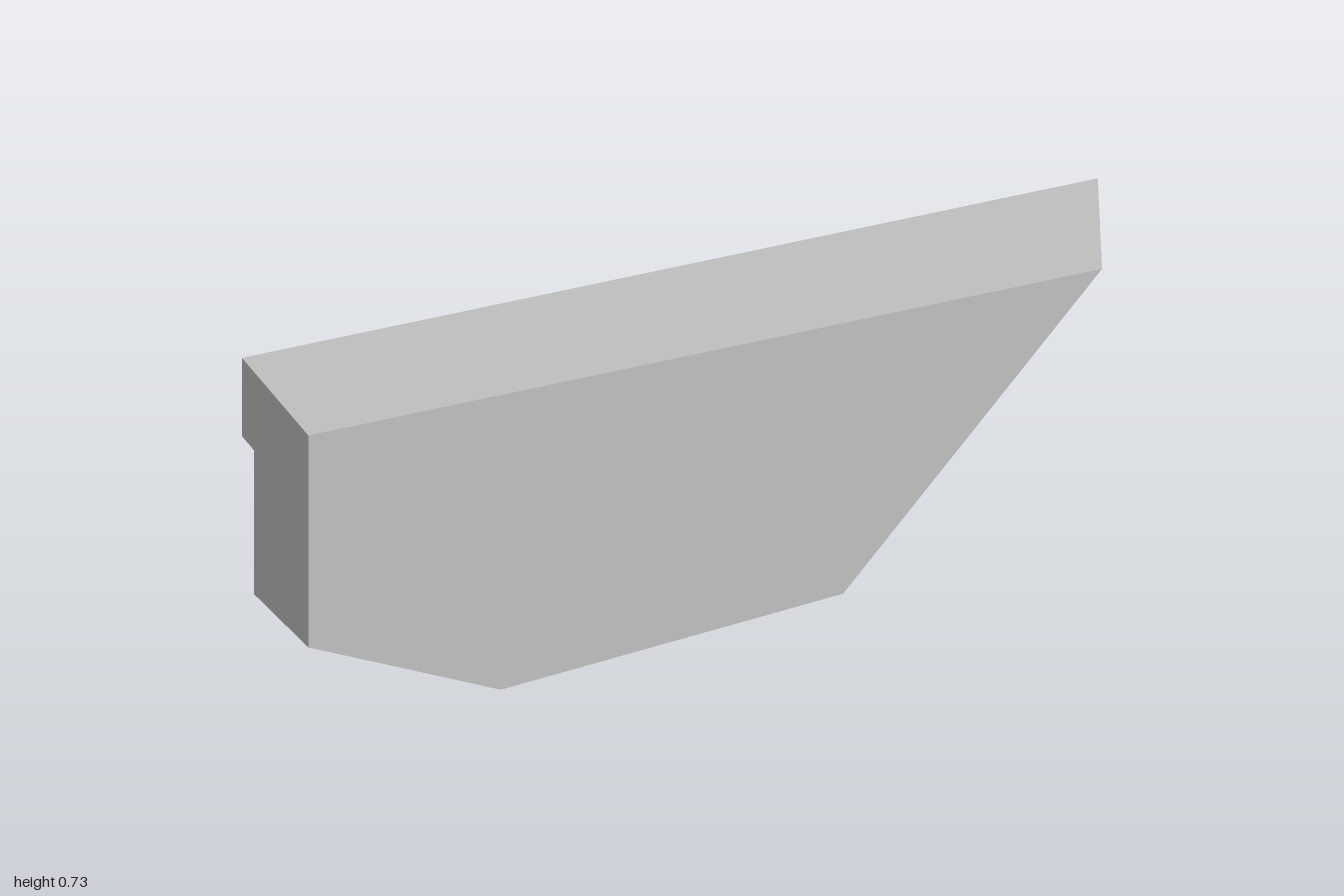
import * as THREE from 'three';

const TOP = 0.73, FRONT = 0.293, BACK = -0.005, LIP_BACK = -0.073;

// x of the slanted, raked end face at a given height and depth
const endX = (y, z) => 0.855 - (TOP - y) * 0.903 + (FRONT - z) * 0.396;

// Flat-faced solid between two matching outlines (counter-clockwise seen from the front)
function loft(front, zFront, back, zBack) {
  const positions = [];
  const n = front.length;
  const f = front.map(([x, y]) => [x, y, zFront]);
  const b = back.map(([x, y]) => [x, y, zBack]);
  const tri = (p, q, r) => positions.push(...p, ...q, ...r);
  for (let i = 0; i < n; i++) {
    const j = (i + 1) % n;
    tri(f[i], b[i], b[j]);
    tri(f[i], b[j], f[j]);
    if (i > 0 && i < n - 1) {
      tri(f[0], f[i], f[j]);
      tri(b[0], b[j], b[i]);
    }
  }
  const geometry = new THREE.BufferGeometry();
  geometry.setAttribute('position', new THREE.Float32BufferAttribute(positions, 3));
  geometry.computeVertexNormals();
  return geometry;
}

export function createModel() {
  const group = new THREE.Group();
  const grey = new THREE.MeshStandardMaterial({ color: 0xc0c0c0, flatShading: true });
  grey.name = 'light grey';

  const add = (name, geometry) => {
    const mesh = new THREE.Mesh(geometry, grey);
    mesh.name = name;
    group.add(mesh);
    return mesh;
  };

  // Main panel, with its underside sloping up towards the back
  add('panel', loft(
    [[-1, TOP], [-1, 0.205], [-0.55, 0], [endX(0.06, FRONT), 0.06], [endX(TOP, FRONT), TOP]], FRONT,
    [[-1, TOP], [-1, 0.18], [-0.8, 0.09], [endX(0.18, BACK), 0.18], [endX(TOP, BACK), TOP]], BACK
  ));

  // Overhanging lip along the top of the back
  const lipOutline = (z) => [[-1, TOP], [-1, 0.536], [endX(0.536, z), 0.536], [endX(TOP, z), TOP]];
  add('lip', loft(lipOutline(BACK), BACK, lipOutline(LIP_BACK), LIP_BACK));

  // Ten-sided pegs with chamfered tips
  const profile = [[0.09, 0], [0.09, 0.269], [0.072, 0.288], [0, 0.288]]
    .map(([r, h]) => new THREE.Vector2(r, h));
  const pegGeometry = new THREE.LatheGeometry(profile, 10, Math.PI / 2).toNonIndexed();
  pegGeometry.computeVertexNormals();
  pegGeometry.rotateX(-Math.PI / 2);
  [['rightPeg', -0.6], ['leftPeg', 0.2]].forEach(([name, x]) => {
    add(name, pegGeometry).position.set(x, 0.251, BACK);
  });

  return group;
}
